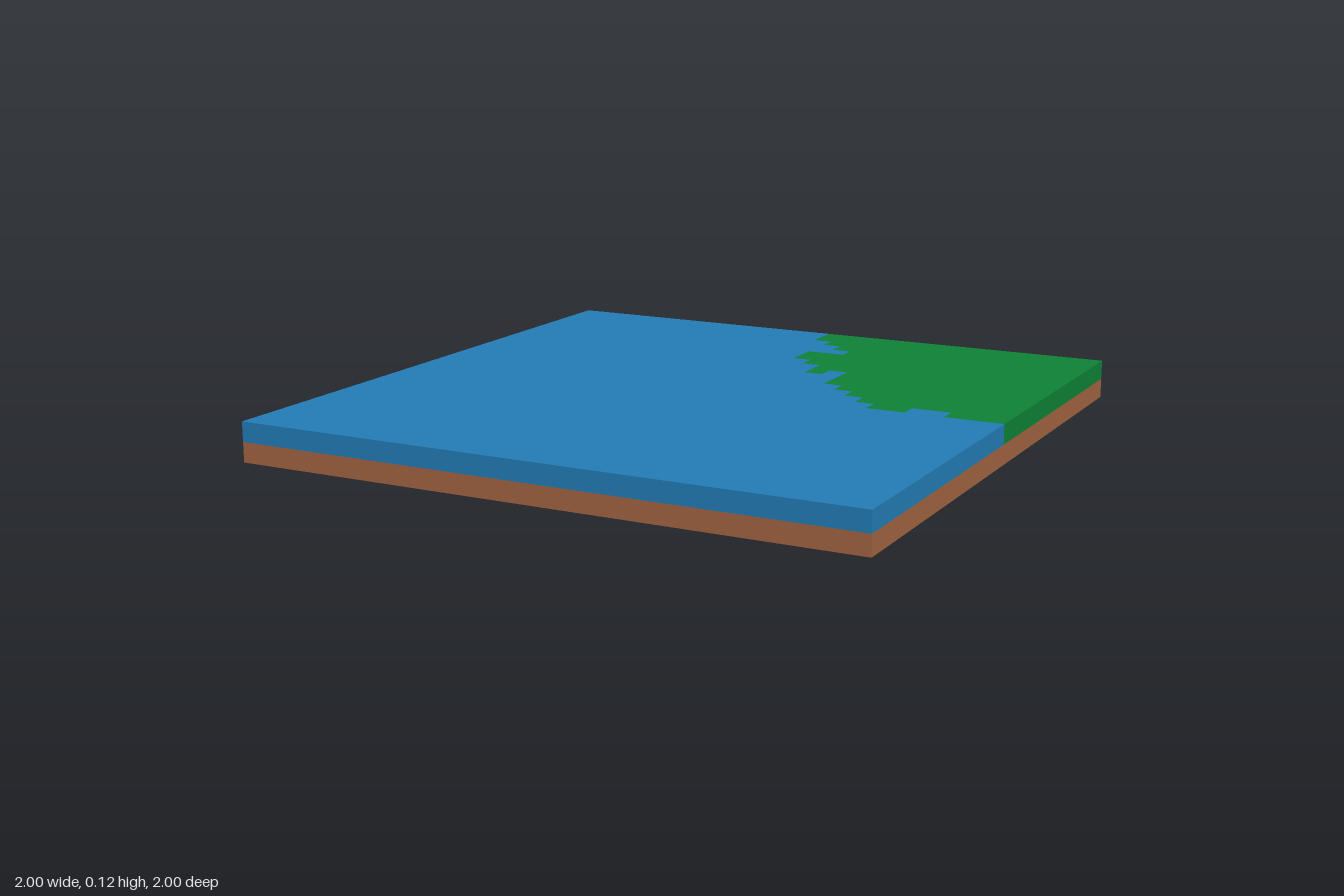
import * as THREE from 'three';

const CELL = 1 / 16; // grid step of the tile
const LAYER = 1 / 16; // thickness of each layer

// Stepped shoreline in cells, from the back edge to the left edge of the tile
const SHORE = [
  [0, 0], [0, 2], [1, 2], [1, 3], [2, 3], [2, 4], [3, 4], [3, 5], [1, 5], [1, 7],
  [2, 7], [2, 8], [3, 8], [3, 10], [4, 10], [4, 9], [5, 9], [5, 12], [6, 12], [6, 13],
  [7, 13], [7, 14], [8, 14], [8, 15], [9, 15], [9, 16], [11, 16], [11, 15], [13, 15],
  [13, 16], [16, 16],
].map(([col, row]) => new THREE.Vector2(col * CELL, -1 + row * CELL));

// Extrudes an (x, z) outline into a flat slab on top of the base layer
function slab(name, outline, material) {
  const geometry = new THREE.ExtrudeGeometry(new THREE.Shape(outline), {
    depth: LAYER, bevelEnabled: false,
  });
  geometry.rotateX(Math.PI / 2);
  geometry.translate(0, 2 * LAYER, 0);
  const mesh = new THREE.Mesh(geometry, material);
  mesh.name = name;
  return mesh;
}

export function createModel() {
  const material = (name, color) => {
    const m = new THREE.MeshStandardMaterial({ color });
    m.name = name;
    return m;
  };
  const soil = material('soilBrown', 0xa06340);
  const blue = material('waterBlue', 0x227cb5);
  const green = material('grassGreen', 0x0e8136);

  const group = new THREE.Group();
  group.name = 'coastTile';

  // Soil layer under the whole tile
  const base = new THREE.Mesh(new THREE.BoxGeometry(2, LAYER, 2), soil);
  base.name = 'soilBase';
  base.position.y = LAYER / 2;

  // Grass corner and the water around it share the shoreline
  const corner = (x, z) => new THREE.Vector2(x, z);
  const grass = slab('grassCorner', [...SHORE, corner(1, -1)], green);
  const water = slab('water', [...SHORE, corner(1, 1), corner(-1, 1), corner(-1, -1)], blue);

  group.add(base, grass, water);
  return group;
}
